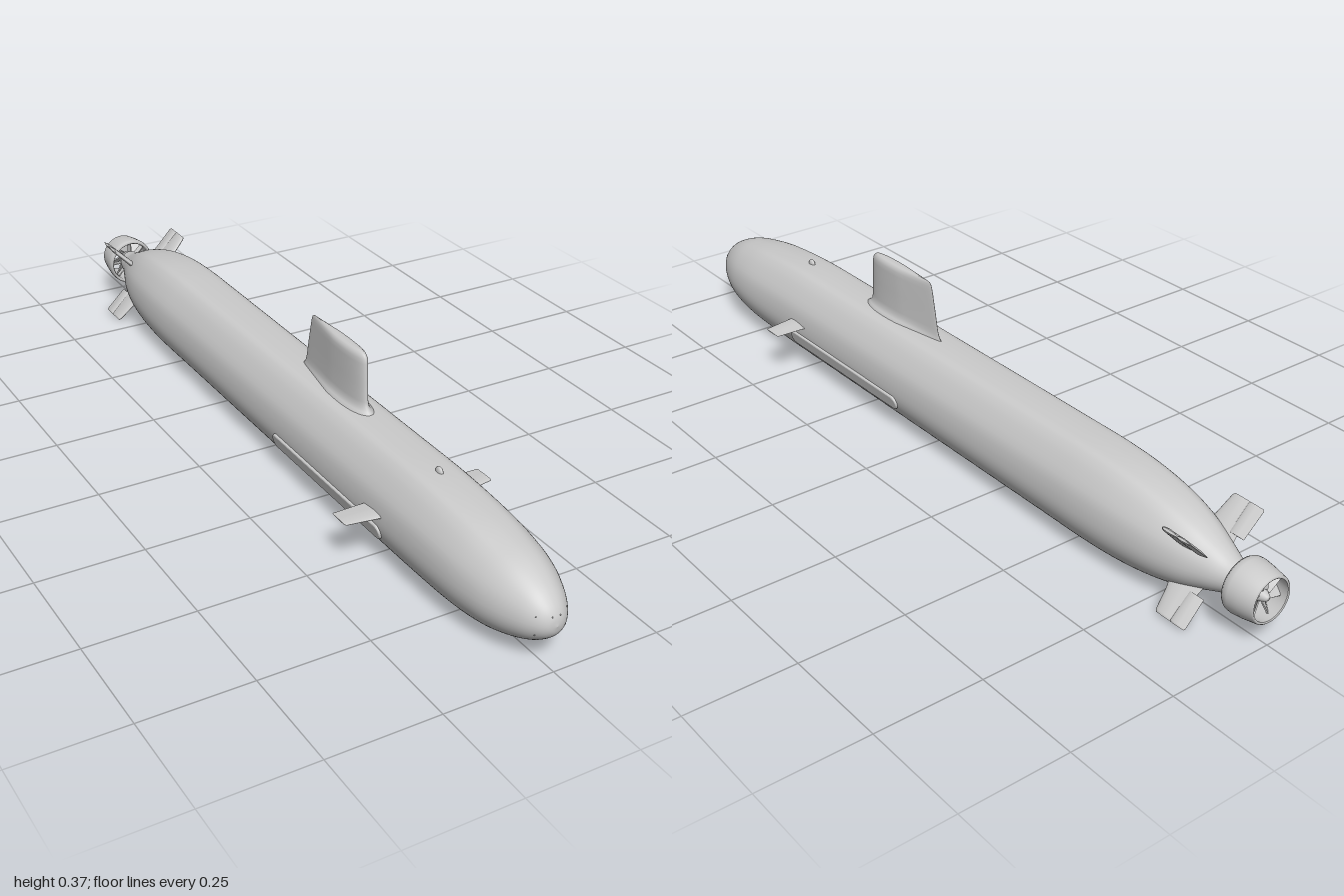
import * as THREE from 'three';

const AXIS_Y = 0.107;
const material = new THREE.MeshStandardMaterial({ color: 0xcccccc, roughness: 0.7 });
const doubleSided = new THREE.MeshStandardMaterial({ color: 0xcccccc, roughness: 0.7, side: THREE.DoubleSide });

function addMesh(parent, name, geometry, mat = material) {
  const mesh = new THREE.Mesh(geometry, mat);
  mesh.name = name;
  parent.add(mesh);
  return mesh;
}

// Skin over closed rings of equal length, with flat caps at both ends
function loft(rings) {
  const n = rings[0].length, pos = [], index = [];
  rings.forEach(r => r.forEach(p => pos.push(...p)));
  for (let i = 0; i < rings.length - 1; i++) {
    for (let j = 0; j < n; j++) {
      const a = i * n + j, b = i * n + (j + 1) % n;
      index.push(a, b, a + n, b, b + n, a + n);
    }
  }
  [rings[0], rings[rings.length - 1]].forEach((ring, end) => {
    const base = pos.length / 3;
    ring.forEach(p => pos.push(...p));
    pos.push(...[0, 1, 2].map(k => ring.reduce((s, p) => s + p[k], 0) / n));
    for (let j = 0; j < n; j++) {
      const a = base + j, b = base + (j + 1) % n;
      if (end) index.push(a, b, base + n); else index.push(b, a, base + n);
    }
  });
  const g = new THREE.BufferGeometry();
  g.setAttribute('position', new THREE.Float32BufferAttribute(pos, 3));
  g.setIndex(index);
  g.computeVertexNormals();
  return g;
}

// Teardrop foil growing along +y; levels are [y, zFront, zBack, halfThickness]
function foil(levels, segments = 40) {
  return loft(levels.map(([y, front, back, half]) => {
    const ring = [];
    for (let j = 0; j < segments; j++) {
      const t = (j / segments) * Math.PI * 2;
      const c = (1 - Math.cos(t)) / 2;
      const width = Math.sin(t) * (1.28 - 0.75 * c) * (c > 0.5 ? 1 - 0.7 * (c - 0.5) : 1);
      ring.push([width * half, y, front + (back - front) * c]);
    }
    return ring;
  }));
}

// Hull stations: z, half width, top, bottom, amount of deck casing
const stations = [
  [1, 0.0005, 0.1075, 0.1065, 0], [0.995, 0.02, 0.128, 0.087, 0], [0.98, 0.0387, 0.149, 0.069, 0],
  [0.95, 0.059, 0.173, 0.049, 0], [0.9, 0.08, 0.196, 0.03, 0.1], [0.84, 0.094, 0.21, 0.016, 0.3],
  [0.75, 0.102, 0.222, 0.007, 0.7], [0.6, 0.104, 0.231, 0.003, 1], [0.4, 0.104, 0.232, 0.003, 1],
  [0, 0.104, 0.232, 0.003, 1], [-0.4, 0.104, 0.232, 0.003, 1], [-0.54, 0.104, 0.231, 0.003, 1],
  [-0.64, 0.1, 0.225, 0.007, 0.9], [-0.73, 0.09, 0.211, 0.018, 0.7], [-0.8, 0.074, 0.191, 0.034, 0.4],
  [-0.86, 0.052, 0.164, 0.056, 0.1], [-0.9, 0.037, 0.145, 0.07, 0], [-0.94, 0.027, 0.134, 0.08, 0]
];

function buildHull() {
  const spline = (f) => new THREE.CatmullRomCurve3(stations.map(f), false, 'catmullrom', 0.5);
  const upper = spline(s => new THREE.Vector3(s[0], s[1], s[2]));
  const lower = spline(s => new THREE.Vector3(s[0], s[3], s[4]));
  const casing = new THREE.SplineCurve([[0, 1], [0.27, 0.99], [0.42, 0.965], [0.54, 0.9], [0.7, 0.75],
    [0.91, 0.46], [0.985, 0.2], [1, 0]].map(p => new THREE.Vector2(...p)));
  const rings = [], steps = 102, quarter = 20;
  for (let i = 0; i <= steps; i++) {
    const u = upper.getPoint(i / steps), l = lower.getPoint(i / steps);
    const half = [];
    for (let j = 0; j <= quarter; j++) {
      const p = casing.getPoint(j / quarter);
      const a = Math.atan2(p.x, p.y);
      const x = THREE.MathUtils.lerp(Math.sin(a), p.x, l.z), y = THREE.MathUtils.lerp(Math.cos(a), p.y, l.z);
      half.push([x * u.y, AXIS_Y + y * (u.z - AXIS_Y), u.x]);
    }
    for (let j = 1; j <= quarter; j++) {
      const a = (j / quarter) * Math.PI / 2;
      half.push([Math.cos(a) * u.y, AXIS_Y - Math.sin(a) * (AXIS_Y - l.y), u.x]);
    }
    const mirrored = half.slice(1, -1).reverse().map(([x, y, z]) => [-x, y, z]);
    rings.push([...half, ...mirrored]);
  }
  return loft(rings);
}

// Long pill-shaped fairing lying against the hull side
function buildSideArray() {
  const r = 0.014, len = 0.215, s = new THREE.Shape();
  s.absarc(len - 0.003, 0, r, -Math.PI / 2, Math.PI / 2);
  s.absarc(-len + 0.003, 0, r, Math.PI / 2, Math.PI * 1.5);
  const g = new THREE.ExtrudeGeometry(s, {
    depth: 0.008, bevelEnabled: true, bevelSize: 0.004, bevelThickness: 0.004, bevelSegments: 4, curveSegments: 12
  });
  return g.rotateY(Math.PI / 2);
}

function buildPropulsor() {
  const group = new THREE.Group();
  group.name = 'propulsor';
  group.position.set(0, AXIS_Y, 0);
  const lathe = (points) => new THREE.LatheGeometry(points.map(p => new THREE.Vector2(...p)), 48).rotateX(Math.PI / 2);

  // Duct ring with wall thickness
  addMesh(group, 'duct', lathe([[0.047, -0.998], [0.05, -1], [0.053, -0.997], [0.059, -0.965], [0.062, -0.94],
    [0.061, -0.928], [0.057, -0.922], [0.053, -0.928], [0.053, -0.95], [0.047, -0.998]]), doubleSided);
  addMesh(group, 'hub', lathe([[0, -0.992], [0.006, -0.99], [0.012, -0.98], [0.017, -0.96], [0.027, -0.935]]), doubleSided);

  // Twisted rotor blades and straight guide vanes
  const ring = (name, count, z, chord, twist) => {
    for (let i = 0; i < count; i++) {
      const blade = new THREE.BoxGeometry(0.003, 0.04, chord, 1, 6, 1);
      const p = blade.attributes.position;
      for (let k = 0; k < p.count; k++) {
        const a = twist * (1 - p.getY(k) * 8), x = p.getX(k), zz = p.getZ(k);
        p.setXYZ(k, x * Math.cos(a) + zz * Math.sin(a), p.getY(k) + 0.032, zz * Math.cos(a) - x * Math.sin(a));
      }
      blade.computeVertexNormals();
      const mesh = addMesh(group, name, blade);
      mesh.position.z = z;
      mesh.rotation.z = (i / count) * Math.PI * 2;
    }
  };
  ring('rotorBlade', 7, -0.972, 0.024, 0.8);
  ring('guideVane', 8, -0.938, 0.016, 0.15);
  return group;
}

export function createModel() {
  const model = new THREE.Group();
  model.name = 'submarine';
  addMesh(model, 'hull', buildHull());

  // Sail with flared root and rounded top
  addMesh(model, 'sail', foil([
    [0.22, 0.345, 0.04, 0.034], [0.231, 0.338, 0.045, 0.03], [0.236, 0.329, 0.05, 0.0235], [0.244, 0.322, 0.055, 0.0195],
    [0.256, 0.319, 0.059, 0.0178], [0.3, 0.317, 0.068, 0.0175], [0.345, 0.315, 0.078, 0.0175], [0.356, 0.313, 0.081, 0.0168],
    [0.363, 0.308, 0.084, 0.0145], [0.3675, 0.3, 0.089, 0.01], [0.369, 0.285, 0.1, 0.004]
  ], 56));

  // Small sonar dome on the foredeck
  const dome = addMesh(model, 'deckSonar', new THREE.SphereGeometry(1, 20, 12));
  dome.scale.set(0.006, 0.012, 0.012);
  dome.position.set(0, 0.23, 0.598);

  for (const side of [1, -1]) {
    // Bow planes
    const plane = addMesh(model, 'bowPlane', foil([
      [0.09, 0.55, 0.48, 0.0055], [0.105, 0.547, 0.48, 0.005], [0.178, 0.536, 0.482, 0.002], [0.181, 0.532, 0.484, 0.001]
    ]));
    plane.position.y = 0.123;
    plane.rotation.z = -side * Math.PI / 2;

    // Flank arrays
    const array = new THREE.Group();
    array.name = 'flankArray';
    array.rotation.y = side > 0 ? 0 : Math.PI;
    const fairing = addMesh(array, 'flankFairing', buildSideArray());
    fairing.position.set(0.0935, 0.082, side * 0.315);
    fairing.rotation.z = -0.235;
    model.add(array);

    // Tail fins in an X, each with a hinged flap
    for (const angle of [Math.PI / 4, Math.PI * 3 / 4]) {
      const fin = new THREE.Group();
      fin.name = 'tailFin';
      fin.position.y = AXIS_Y;
      fin.rotation.z = -side * angle;
      addMesh(fin, 'finBase', foil([
        [0.03, -0.765, -0.862, 0.007], [0.09, -0.785, -0.852, 0.0065], [0.137, -0.793, -0.848, 0.0055], [0.142, -0.797, -0.846, 0.003]
      ]));
      addMesh(fin, 'finFlap', foil([
        [0.07, -0.835, -0.874, 0.005], [0.138, -0.835, -0.876, 0.0048], [0.142, -0.838, -0.873, 0.0025]
      ]));
      model.add(fin);
    }

    // Bow tube ports
    for (const [x, y, z] of [[0.036, 0.128, 0.979], [0.036, 0.087, 0.979], [0.009, 0.128, 0.9945]]) {
      const port = addMesh(model, 'bowPort', new THREE.SphereGeometry(0.0015, 8, 6));
      port.position.set(side * x, y, z);
    }
  }

  model.add(buildPropulsor());
  return model;
}
